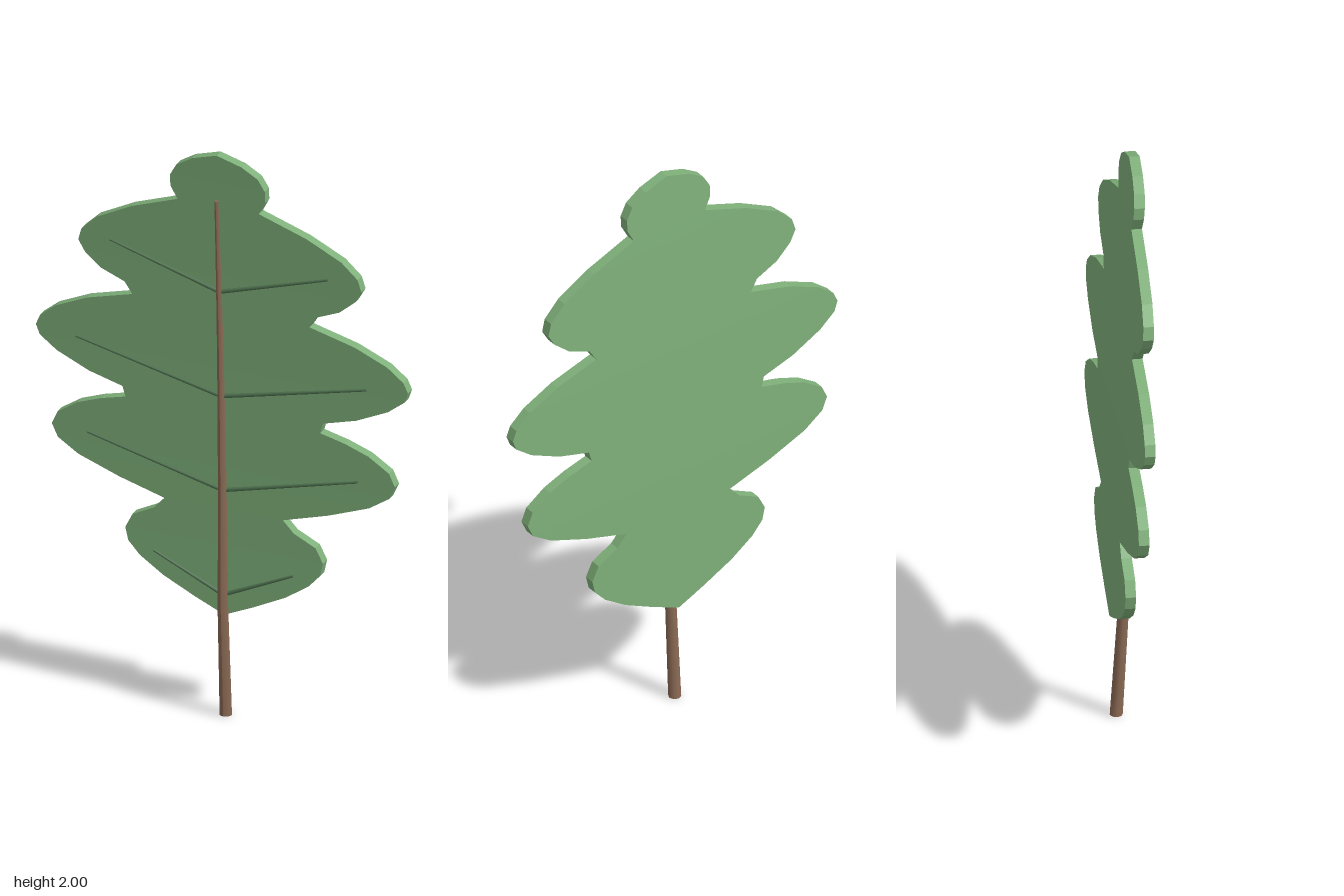
import * as THREE from 'three';

const leafGreen = new THREE.MeshStandardMaterial({ color: 0x7fb07a });
leafGreen.name = 'leafGreen';
leafGreen.flatShading = true;
const stemBrown = new THREE.MeshStandardMaterial({ color: 0x8b6a54 });
stemBrown.name = 'stemBrown';
const veinGreen = new THREE.MeshStandardMaterial({ color: 0x4f7350 });
veinGreen.name = 'veinGreen';

const THICKNESS = 0.034;

// Half outline of the leaf, from the base to the tip: [half width, height]
const outline = [
  [0, 0.355], [0.1, 0.4], [0.21, 0.455], [0.29, 0.51], [0.33, 0.555], [0.34, 0.6], [0.315, 0.65],
  [0.24, 0.688], [0.203, 0.728], [0.36, 0.775], [0.5, 0.828], [0.57, 0.875], [0.59, 0.92],
  [0.57, 0.965], [0.5, 1.012], [0.42, 1.042], [0.335, 1.064], [0.345, 1.1], [0.46, 1.133],
  [0.57, 1.185], [0.627, 1.23], [0.64, 1.265], [0.625, 1.3], [0.57, 1.345], [0.46, 1.395],
  [0.305, 1.438], [0.33, 1.478], [0.41, 1.512], [0.465, 1.56], [0.487, 1.6], [0.475, 1.642],
  [0.42, 1.695], [0.3, 1.757], [0.14, 1.815], [0.163, 1.86], [0.163, 1.9], [0.14, 1.94],
  [0.085, 1.974], [0, 2],
];

// Front surface of the leaf, curling forward towards the tip
const frontZ = (y) => -0.016 + 0.063 * ((y - 0.355) / 1.645) ** 2;

// Centre line of the stem, which lies on the front of the leaf
const stemZ = (y) => (y < 0.4 ? THREE.MathUtils.lerp(-0.028, -0.004, y / 0.4) : frontZ(y) + 0.012);

// Lobed slab made of a rectangular cross-section at each height
function leafGeometry() {
  const positions = [];
  const index = [];
  for (const [w, y] of outline) {
    const z = frontZ(y);
    positions.push(-w, y, z, w, y, z, w, y, z - THICKNESS, -w, y, z - THICKNESS);
  }
  for (let i = 0; i < outline.length - 1; i++) {
    for (let k = 0; k < 4; k++) {
      const a = i * 4 + k, b = i * 4 + ((k + 1) % 4);
      index.push(a, b, b + 4, a, b + 4, a + 4);
    }
  }
  const geo = new THREE.BufferGeometry();
  geo.setAttribute('position', new THREE.Float32BufferAttribute(positions, 3));
  geo.setIndex(index);
  const flat = geo.toNonIndexed();
  flat.computeVertexNormals();
  return flat;
}

// Tapered stem bent along its centre line
function stemGeometry() {
  const height = 1.84;
  const geo = new THREE.CylinderGeometry(0.007, 0.021, height, 8, 23);
  geo.translate(0, height / 2, 0);
  const p = geo.attributes.position;
  for (let i = 0; i < p.count; i++) p.setZ(i, p.getZ(i) + stemZ(p.getY(i)));
  geo.computeVertexNormals();
  return geo;
}

// Thin tapered rod between two points
function rod(from, to, r0, r1, material) {
  const dir = to.clone().sub(from);
  const mesh = new THREE.Mesh(new THREE.CylinderGeometry(r1, r0, dir.length(), 6), material);
  mesh.position.copy(from).add(to).multiplyScalar(0.5);
  mesh.quaternion.setFromUnitVectors(new THREE.Vector3(0, 1, 0), dir.normalize());
  return mesh;
}

export function createModel() {
  const model = new THREE.Group();
  model.name = 'leaf';

  const blade = new THREE.Mesh(leafGeometry(), leafGreen);
  blade.name = 'leafBlade';
  const stem = new THREE.Mesh(stemGeometry(), stemBrown);
  stem.name = 'stem';
  model.add(blade, stem);

  // Side veins in mirrored pairs: [start height, end x, end height]
  const veins = [[0.43, 0.24, 0.54], [0.8, 0.465, 0.917], [1.135, 0.5, 1.253], [1.51, 0.375, 1.625]];
  for (const [y0, x, y1] of veins) {
    for (const side of [-1, 1]) {
      const from = new THREE.Vector3(0, y0, frontZ(y0) + 0.008);
      const to = new THREE.Vector3(side * x, y1, frontZ(y1) + 0.006);
      const vein = rod(from, to, 0.007, 0.004, veinGreen);
      vein.name = side > 0 ? 'leftVein' : 'rightVein';
      model.add(vein);
    }
  }
  return model;
}
